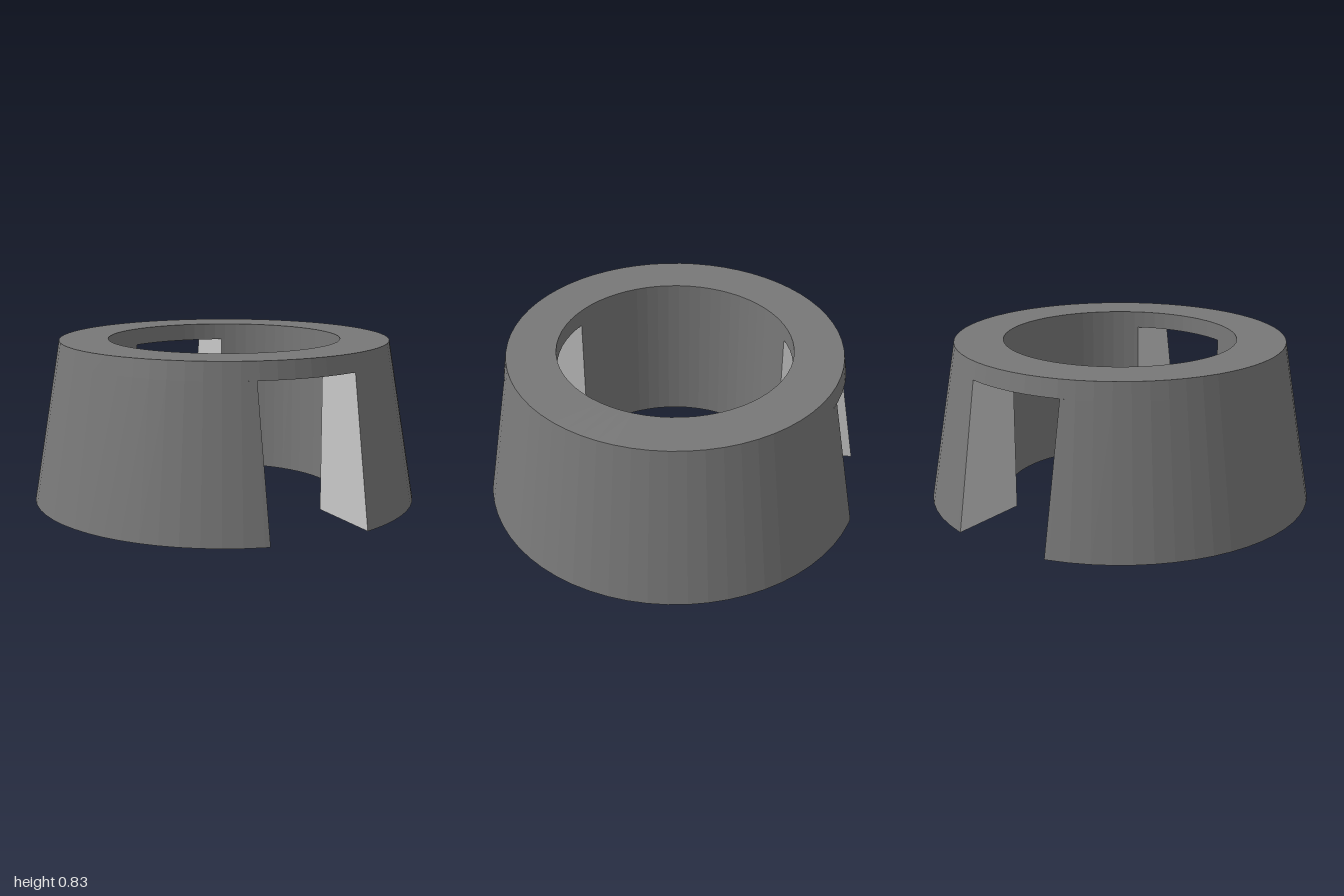
import * as THREE from 'three';

const SEG = 64, HEIGHT = 0.832, SLOT_TOP = 0.743, SLOT_HALF = 0.265;
const R_IN = 0.604, R_BASE = 1, R_TOP = 0.857;
const outerR = (y) => R_BASE + (R_TOP - R_BASE) * y / HEIGHT;
const slotAngle = (r) => Math.asin(SLOT_HALF / r);
const point = ([r, y], t) => [r * Math.sin(t), y, r * Math.cos(t)];

// Angle limits: whole ring, the side between the slots, or the slot itself
const full = (t) => t;
const side = (t, r) => THREE.MathUtils.clamp(t, slotAngle(r), Math.PI - slotAngle(r));
const slot = (t, r) => THREE.MathUtils.clamp(t, -slotAngle(r), slotAngle(r));

function pushQuad(out, a, b, c, d) {
  out.push(...a, ...b, ...c, ...a, ...c, ...d);
}

function toGeometry(positions) {
  const g = new THREE.BufferGeometry();
  g.setAttribute('position', new THREE.Float32BufferAttribute(positions, 3));
  g.computeVertexNormals();
  return g;
}

// Sweeps a profile of [radius, height] points around y, trimmed by a limit
function sweep(profile, limit, from, to) {
  const out = [];
  for (let k = 0; k < profile.length - 1; k++) {
    const a = profile[k], b = profile[k + 1];
    for (let i = from; i < to; i++) {
      const t0 = i * 2 * Math.PI / SEG, t1 = (i + 1) * 2 * Math.PI / SEG;
      pushQuad(out,
        point(a, limit(t0, a[0])), point(a, limit(t1, a[0])),
        point(b, limit(t1, b[0])), point(b, limit(t0, b[0])));
    }
  }
  return toGeometry(out);
}

// Flat cut faces on both ends of one side wall
function slotWalls() {
  const out = [];
  const corners = [[R_BASE, 0], [outerR(SLOT_TOP), SLOT_TOP], [R_IN, SLOT_TOP], [R_IN, 0]]
    .map((p) => point(p, slotAngle(p[0])));
  pushQuad(out, ...corners);
  pushQuad(out, ...corners.map(([x, y, z]) => [x, y, -z]).reverse());
  return toGeometry(out);
}

export function createModel() {
  const group = new THREE.Group();
  const bodyGrey = new THREE.MeshStandardMaterial({ color: 0x787878, flatShading: true });
  bodyGrey.name = 'body grey';
  const cutGrey = new THREE.MeshStandardMaterial({ color: 0xc8c8c8, flatShading: true });
  cutGrey.name = 'cut face light grey';

  const add = (name, geometry, material, turn = 0) => {
    const mesh = new THREE.Mesh(geometry, material);
    mesh.name = name;
    mesh.rotation.y = turn;
    group.add(mesh);
  };

  // Continuous ring above the slots
  const rOut = outerR(SLOT_TOP);
  add('topRing', sweep([[rOut, SLOT_TOP], [R_TOP, HEIGHT], [R_IN, HEIGHT], [R_IN, SLOT_TOP]],
    full, 0, SEG), bodyGrey);

  // Two tapered side walls with the slot faces between them
  const wall = sweep([[R_IN, SLOT_TOP], [R_IN, 0], [R_BASE, 0], [rOut, SLOT_TOP]],
    side, 0, SEG / 2);
  const cuts = slotWalls();
  const ceiling = sweep([[R_IN, SLOT_TOP], [rOut, SLOT_TOP]], slot, -6, 6);
  for (const [label, turn] of [['left', 0], ['right', Math.PI]]) {
    add(label + 'SideWall', wall, bodyGrey, turn);
    add(label + 'SlotFaces', cuts, cutGrey, turn);
    add((turn ? 'back' : 'front') + 'SlotCeiling', ceiling, cutGrey, turn);
  }
  return group;
}
